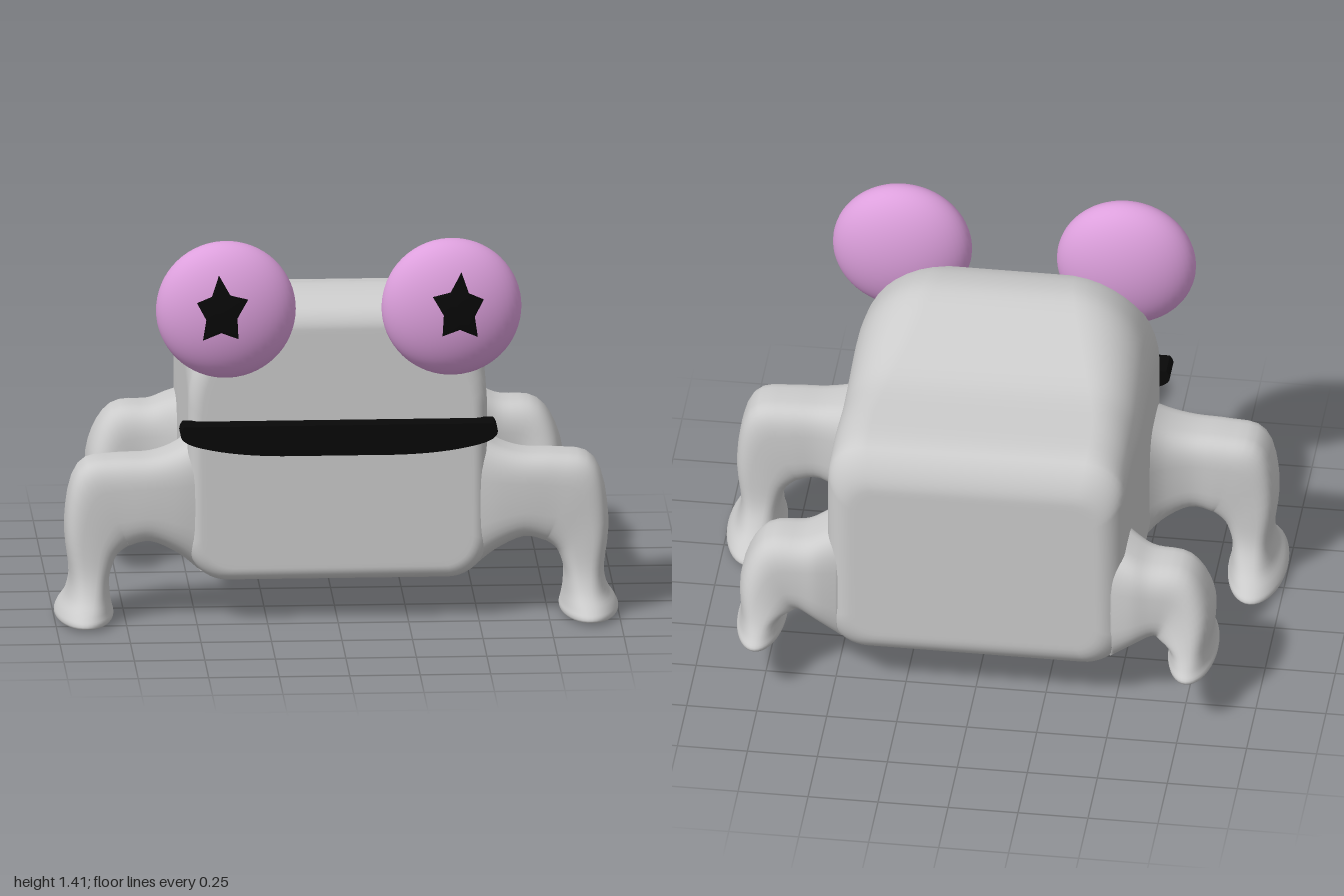
import * as THREE from 'three';

const material = (color) => new THREE.MeshStandardMaterial({ color });
const grey = material(0xcccccc), pink = material(0xdda0dd), black = material(0x080808);

function addMesh(group, name, geometry, mat) {
  const mesh = new THREE.Mesh(geometry, mat);
  mesh.name = name;
  group.add(mesh);
  return mesh;
}

// Skin over closed rings of points, with a fan at each end; side = -1 mirrors in x
function loft(rings, side = 1) {
  const n = rings[0].length, pos = [], idx = [];
  const push = (p) => pos.push(p.x * side, p.y, p.z);
  const tri = (a, b, c) => (side > 0 ? idx.push(a, b, c) : idx.push(a, c, b));
  rings.forEach((r) => r.forEach(push));
  for (let i = 0; i < rings.length - 1; i++) {
    for (let j = 0; j < n; j++) {
      const a = i * n + j, b = i * n + (j + 1) % n;
      tri(a, b, b + n);
      tri(a, b + n, a + n);
    }
  }
  const centre = (r) => r.reduce((s, p) => s.add(p), new THREE.Vector3()).divideScalar(n);
  const last = (rings.length - 1) * n, c0 = rings.length * n;
  push(centre(rings[0]));
  push(centre(rings[rings.length - 1]));
  for (let j = 0; j < n; j++) {
    tri(c0, (j + 1) % n, j);
    tri(c0 + 1, last + j, last + (j + 1) % n);
  }
  const g = new THREE.BufferGeometry();
  g.setAttribute('position', new THREE.Float32BufferAttribute(pos, 3));
  g.setIndex(idx);
  g.computeVertexNormals();
  return g;
}

// Smooth interpolation through rows of numbers
function smoothRows(rows, steps) {
  const at = (i) => rows[Math.min(Math.max(i, 0), rows.length - 1)];
  const out = [];
  for (let i = 0; i < rows.length - 1; i++) {
    for (let s = 0; s < steps; s++) {
      const t = s / steps;
      out.push(rows[i].map((p1, k) => {
        const p0 = at(i - 1)[k], p2 = at(i + 1)[k], p3 = at(i + 2)[k];
        return p1 + 0.5 * t * (p2 - p0 + t * (2 * p0 - 5 * p1 + 4 * p2 - p3 + t * (3 * (p1 - p2) + p3 - p0)));
      }));
    }
  }
  out.push(rows[rows.length - 1]);
  return out;
}

// Body: rounded sections along z under a humped back line
const BACK_LINE = smoothRows([
  [-0.57, 0.95], [-0.53, 0.98], [-0.48, 1.005], [-0.4, 1.017], [-0.2, 1.025], [-0.1, 1.04], [0, 1.08],
  [0.1, 1.13], [0.2, 1.174], [0.28, 1.187], [0.38, 1.17], [0.45, 1.14], [0.49, 1.12],
], 3);

function backHeight(z) {
  const i = Math.max(1, BACK_LINE.findIndex((p) => p[0] >= z - 1e-6));
  const [a, b] = [BACK_LINE[i - 1], BACK_LINE[i]];
  return THREE.MathUtils.mapLinear(z, a[0], b[0], a[1], b[1]);
}

function bodyRing(z, inset) {
  const w = 0.53 - inset, top = backHeight(z) - inset, bottom = 0.15 + inset;
  const k = THREE.MathUtils.smoothstep(z, -0.35, 0.4);
  const rx = 0.14 + 0.16 * k - inset * 0.6, ry = 0.14 + 0.2 * k - inset * 0.6, rb = 0.14 - inset * 0.6;
  const corners = [[w - rx, top - ry, rx, ry], [rx - w, top - ry, rx, ry],
    [rb - w, bottom + rb, rb, rb], [w - rb, bottom + rb, rb, rb]];
  const ring = [];
  corners.forEach(([cx, cy, ax, ay], q) => {
    for (let s = 0; s <= 10; s++) {
      const a = (q + s / 10) * Math.PI / 2;
      ring.push(new THREE.Vector3(cx + ax * Math.cos(a), cy + ay * Math.sin(a), z));
    }
  });
  return ring;
}

function bodyGeometry() {
  const rings = [], zBack = -0.57, zFront = 0.49, rBack = 0.09, rFront = 0.05, n = 8;
  rings.push(bodyRing(zBack, rBack + 0.02));
  for (let i = 0; i <= n; i++) {
    const a = i / n * Math.PI / 2;
    rings.push(bodyRing(zBack + rBack * (1 - Math.cos(a)), rBack * (1 - Math.sin(a))));
  }
  for (let i = 1; i < 30; i++) {
    rings.push(bodyRing(THREE.MathUtils.lerp(zBack + rBack, zFront - rFront, i / 30), 0));
  }
  for (let i = 0; i <= n; i++) {
    const a = i / n * Math.PI / 2;
    rings.push(bodyRing(zFront - rFront + rFront * Math.sin(a), rFront * (1 - Math.cos(a))));
  }
  rings.push(bodyRing(zFront, rFront + 0.02));
  return loft(rings);
}

// Leg rows: x, y, z, direction in degrees, half thickness, half depth, squareness
const FRONT_LEG = [
  [0.48, 0.42, 0.300, 0, 0.26, 0.18, 3.5],
  [0.56, 0.43, 0.345, 0, 0.195, 0.143, 3.5],
  [0.66, 0.44, 0.366, 0, 0.155, 0.123, 3.5],
  [0.76, 0.43, 0.366, -10, 0.162, 0.12, 3.5],
  [0.825, 0.412, 0.366, -33, 0.168, 0.12, 3.5],
  [0.87, 0.30, 0.366, -58, 0.11, 0.12, 3.5],
  [0.876, 0.18, 0.366, -86, 0.073, 0.13, 3],
  [0.882, 0.10, 0.36, -90, 0.078, 0.168, 2.4],
  [0.893, 0.05, 0.357, -90, 0.097, 0.22, 2.1],
  [0.895, 0.024, 0.356, -90, 0.105, 0.245, 2],
  [0.895, 0.008, 0.356, -90, 0.095, 0.23, 2],
  [0.895, 0.0, 0.356, -90, 0.05, 0.12, 2],
];
const BACK_LEG = [
  [0.48, 0.40, -0.385, 0, 0.24, 0.17, 3.5],
  [0.56, 0.42, -0.425, 0, 0.185, 0.145, 3.5],
  [0.63, 0.43, -0.435, 0, 0.15, 0.13, 3.2],
  [0.70, 0.42, -0.438, -22, 0.155, 0.128, 3],
  [0.745, 0.355, -0.44, -50, 0.12, 0.15, 2.8],
  [0.762, 0.28, -0.44, -82, 0.08, 0.18, 2.4],
  [0.767, 0.235, -0.44, -90, 0.08, 0.207, 2.1],
  [0.77, 0.205, -0.44, -90, 0.087, 0.23, 2],
  [0.77, 0.185, -0.44, -90, 0.075, 0.2, 2],
  [0.77, 0.172, -0.44, -90, 0.035, 0.1, 2],
];

function legGeometry(rows, side) {
  const rings = smoothRows(rows, 4).map(([x, y, z, deg, a, b, sq]) => {
    const t = deg * Math.PI / 180, ring = [];
    const power = (v) => Math.sign(v) * Math.abs(v) ** (2 / sq);
    for (let j = 0; j < 40; j++) {
      const f = j / 40 * Math.PI * 2, u = a * power(Math.cos(f)), v = b * power(Math.sin(f));
      ring.push(new THREE.Vector3(x - Math.sin(t) * u, y + Math.cos(t) * u, z + v));
    }
    return ring;
  });
  return loft(rings, side);
}

// Mouth: dark bar with a bowed underside
function mouthGeometry() {
  const s = new THREE.Shape();
  s.moveTo(-0.55, 0.74);
  s.quadraticCurveTo(-0.59, 0.69, -0.5, 0.665);
  s.quadraticCurveTo(-0.38, 0.633, -0.2, 0.63);
  s.lineTo(0.2, 0.63);
  s.quadraticCurveTo(0.38, 0.633, 0.5, 0.665);
  s.quadraticCurveTo(0.59, 0.69, 0.55, 0.74);
  return new THREE.ExtrudeGeometry(s, { depth: 0.1, bevelEnabled: false }).translate(0, 0, 0.47);
}

// Pupil: five-pointed star laid on the curve of the eye
const EYE = { x: 0.4, y: 1.16, z: 0.53, r: 0.248, depth: 0.128 };

function pupilGeometry(side) {
  const tips = [[0.43, 1.31], [0.328, 1.225], [0.362, 1.083], [0.487, 1.077], [0.508, 1.213]];
  const cx = 0.42, cy = 1.175, outline = [];
  tips.forEach(([x, y], i) => {
    const [nx, ny] = tips[(i + 1) % 5];
    outline.push([x, y], [cx + ((x + nx) / 2 - cx) * 0.72, cy + ((y + ny) / 2 - cy) * 0.72]);
  });
  const rings = [0.1, 0.3, 0.5, 0.7, 0.85, 1].reverse().map((k) => outline.map(([px, py]) => {
    const x = cx + (px - cx) * k, y = cy + (py - cy) * k;
    const d = ((x - EYE.x) ** 2 + (y - EYE.y) ** 2) / EYE.r ** 2;
    return new THREE.Vector3(x, y, EYE.z + EYE.depth * Math.sqrt(1 - d) + 0.006);
  }));
  // A sunk rim closes the star into the eye
  rings.unshift(rings[0].map((p) => p.clone().setZ(p.z - 0.02)));
  return loft(rings, side);
}

export function createModel() {
  const model = new THREE.Group();
  model.name = 'frog';
  addMesh(model, 'body', bodyGeometry(), grey);
  addMesh(model, 'mouth', mouthGeometry(), black);
  for (const [label, side] of [['left', 1], ['right', -1]]) {
    addMesh(model, label + 'FrontLeg', legGeometry(FRONT_LEG, side), grey);
    addMesh(model, label + 'BackLeg', legGeometry(BACK_LEG, side), grey);
    const eye = addMesh(model, label + 'Eye', new THREE.SphereGeometry(EYE.r, 48, 32), pink);
    eye.scale.z = EYE.depth / EYE.r;
    eye.position.set(side * EYE.x, EYE.y, EYE.z);
    addMesh(model, label + 'Pupil', pupilGeometry(side), black);
  }
  return model;
}
